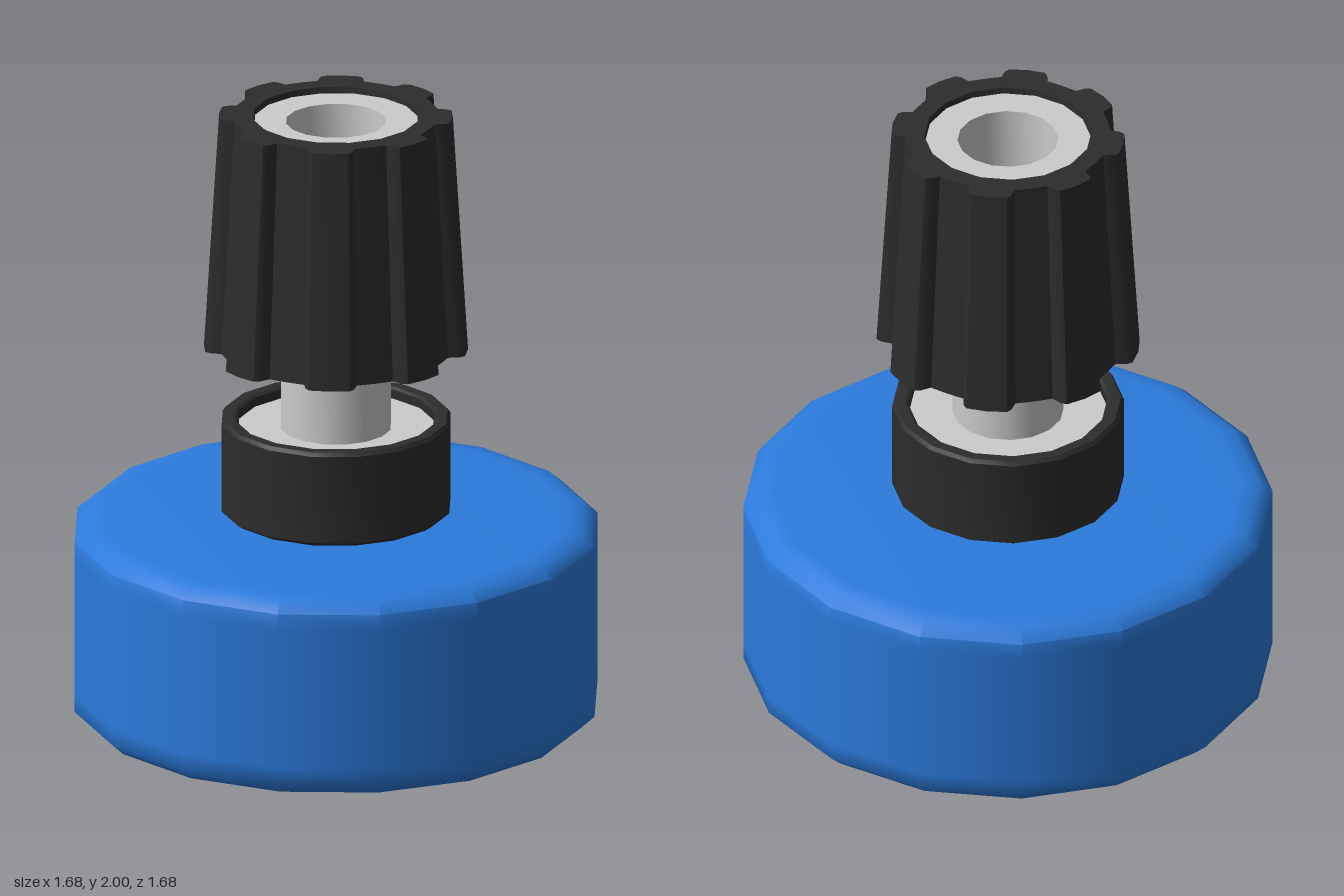
import * as THREE from 'three';
import { toCreasedNormals } from 'three/addons/utils/BufferGeometryUtils.js';

const blue = new THREE.MeshStandardMaterial({ color: 0x2b7bdc });
const black = new THREE.MeshStandardMaterial({ color: 0x2c2c2c });
const metal = new THREE.MeshStandardMaterial({ color: 0xcccccc });

// Sixteen-sided turned part; the profile runs from the bottom up the outside
function turned(name, material, profile, crease) {
  const points = profile.map(([r, y]) => new THREE.Vector2(r, y));
  const geometry = toCreasedNormals(new THREE.LatheGeometry(points, 16), crease);
  const mesh = new THREE.Mesh(geometry, material);
  mesh.name = name;
  return mesh;
}

// Tapered grip with eight lobes and a bore
function createKnob() {
  const bottom = 1.22, top = 2, lobes = 8, bore = 0.265;
  // Half of one lobe: angle from its middle in degrees, radius at the bottom
  const half = [[9, 0.416], [11, 0.402], [13, 0.368], [22.5, 0.365]];
  const lobe = [...half.slice(0, 3).reverse().map(([a, r]) => [-a, r]), [0, 0.418], ...half];
  const outline = [];
  for (let i = 0; i < lobes; i++) {
    for (const [a, r] of lobe) {
      const t = THREE.MathUtils.degToRad(10 + i * 45 + a);
      outline.push(new THREE.Vector2(r * Math.cos(t), r * Math.sin(t)));
    }
  }
  const shape = new THREE.Shape(outline);
  const hole = [];
  for (let i = 0; i < 16; i++) {
    const t = -i * Math.PI / 8;
    hole.push(new THREE.Vector2(bore * Math.cos(t), bore * Math.sin(t)));
  }
  shape.holes.push(new THREE.Path(hole));

  const geometry = new THREE.ExtrudeGeometry(shape, { depth: top - bottom, bevelEnabled: false });
  geometry.rotateX(-Math.PI / 2).translate(0, bottom, 0);

  // Taper the grip upward; draw the bore in and down at the underside
  const p = geometry.attributes.position;
  for (let i = 0; i < p.count; i++) {
    const inner = Math.hypot(p.getX(i), p.getZ(i)) < 0.3;
    const high = p.getY(i) > 1.6;
    let s = 1;
    if (inner && !high) {
      s = 0.17 / bore;
      p.setY(i, 1.19);
    } else if (!inner && high) {
      s = 0.885;
    }
    p.setX(i, p.getX(i) * s);
    p.setZ(i, p.getZ(i) * s);
  }
  const mesh = new THREE.Mesh(toCreasedNormals(geometry, 0.7), black);
  mesh.name = 'knob';
  return mesh;
}

export function createModel() {
  const model = new THREE.Group();
  model.name = 'bindingPost';

  // Heavy round base with softened rims
  model.add(turned('base', blue, [
    [0, 0], [0.74, 0], [0.795, 0.005], [0.838, 0.045], [0.838, 0.1],
    [0.838, 0.56], [0.838, 0.615], [0.795, 0.652], [0.74, 0.657], [0, 0.657],
  ], 0.9));

  // Cup-shaped collar
  model.add(turned('collar', black, [
    [0, 0.65], [0.22, 0.657], [0.345, 0.675], [0.367, 0.69], [0.367, 0.98],
    [0.358, 0.992], [0.325, 0.992], [0.315, 0.985], [0.315, 0.93], [0, 0.93],
  ], 0.6));

  // Metal washer in the collar
  model.add(turned('washer', metal, [[0, 0.9], [0.314, 0.9], [0.314, 0.955], [0, 0.955]], 0.6));

  // Metal post with its flared top and conical-ended socket
  model.add(turned('post', metal, [
    [0, 0.92], [0.176, 0.92], [0.176, 1.85], [0.25, 1.92], [0.262, 1.98],
    [0.16, 1.98], [0.155, 1.4], [0.045, 1.3], [0, 1.29],
  ], 0.6));

  model.add(createKnob());
  return model;
}
